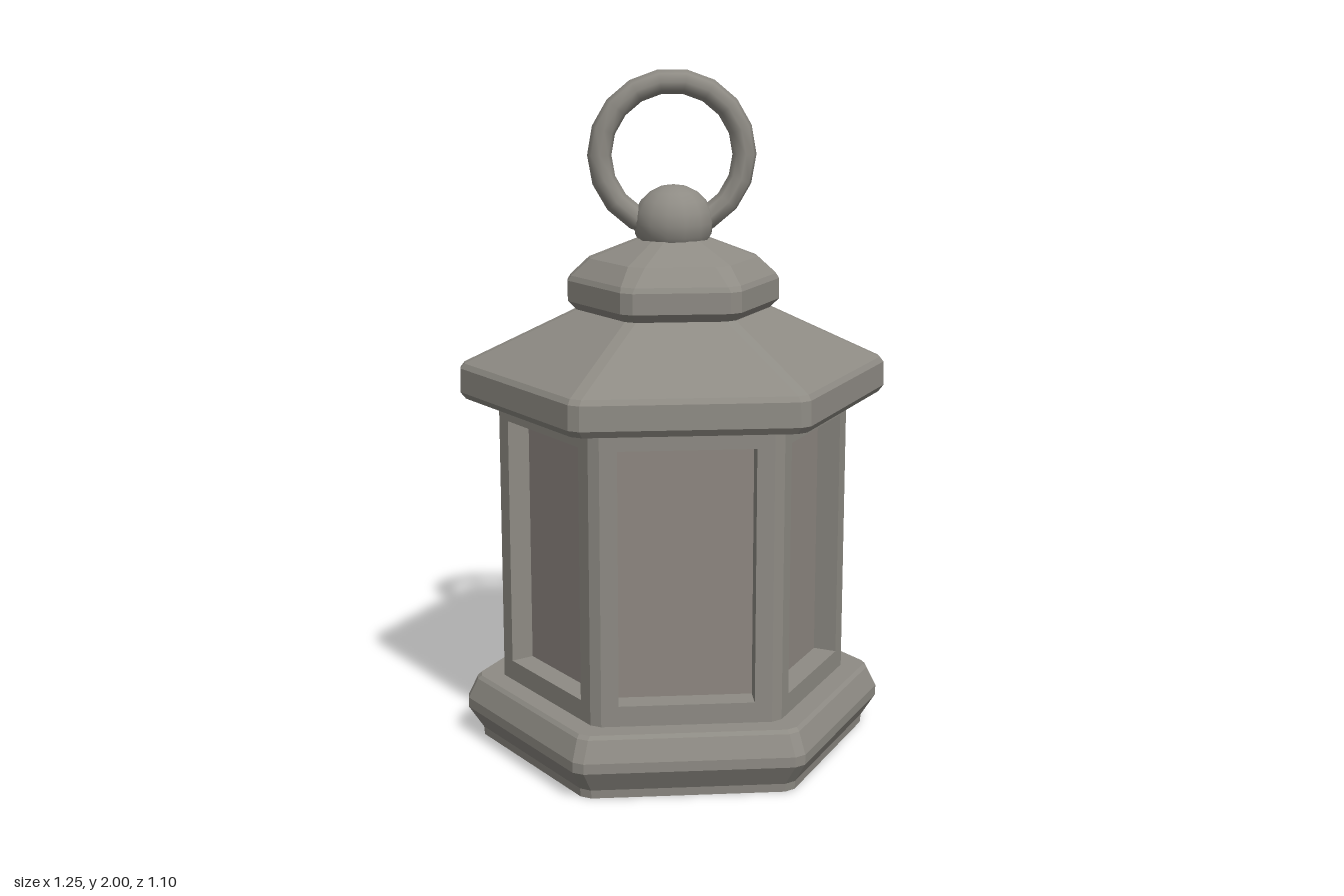
import * as THREE from 'three';

const COS30 = Math.cos(Math.PI / 6);

// Hexagon with clipped corners: corners on +x/-x, flats on +z/-z
function hexRing(y, apothem, clip) {
  const R = apothem / COS30;
  const corner = k => new THREE.Vector3(R * Math.cos(k * Math.PI / 3), y, -R * Math.sin(k * Math.PI / 3));
  const ring = [];
  for (let k = 0; k < 6; k++) {
    const c = corner(k);
    for (const n of [k - 1, k + 1]) ring.push(c.clone().lerp(corner(n), clip / R));
  }
  return ring;
}

// Closed, flat-faced solid through a stack of [y, apothem, corner clip]
function hexLoft(profile) {
  const rings = profile.map(p => hexRing(...p));
  const pts = [];
  const n = 12, last = rings.length - 1;
  const bottom = new THREE.Vector3(0, profile[0][0], 0);
  const top = new THREE.Vector3(0, profile[last][0], 0);
  for (let i = 0; i < n; i++) {
    const j = (i + 1) % n;
    for (let r = 0; r < last; r++) {
      const a = rings[r][i], b = rings[r][j], c = rings[r + 1][j], d = rings[r + 1][i];
      pts.push(a, b, c, a, c, d);
    }
    pts.push(bottom, rings[0][j], rings[0][i], top, rings[last][i], rings[last][j]);
  }
  const g = new THREE.BufferGeometry().setFromPoints(pts);
  g.computeVertexNormals();
  return g;
}

export function createModel() {
  const metal = new THREE.MeshStandardMaterial({ color: 0x8e8b84 });
  metal.name = 'grey metal';
  const pane = new THREE.MeshStandardMaterial({ color: 0x8e8781 });
  pane.name = 'warm grey pane';

  const model = new THREE.Group();
  model.name = 'lantern';
  const add = (name, geometry, material = metal, parent = model) => {
    const m = new THREE.Mesh(geometry, material);
    m.name = name;
    parent.add(m);
    return m;
  };

  // Plinth
  add('base', hexLoft([
    [0, 0.51, 0.02], [0.025, 0.512, 0.02], [0.09, 0.55, 0.02],
    [0.12, 0.55, 0.02], [0.18, 0.525, 0.02], [0.19, 0.515, 0.02],
  ]));

  // Recessed panes
  add('panes', hexLoft([[0.18, 0.385, 0.005], [1.06, 0.385, 0.005]]), pane);

  // Six window frames and the clipped corner posts between them
  const A = 0.455, R = A / COS30, clip = 0.02, depth = 0.07;
  const y0 = 0.18, y1 = 1.06, half = R / 2 - clip;
  const shape = new THREE.Shape([
    new THREE.Vector2(-half, y0), new THREE.Vector2(half, y0),
    new THREE.Vector2(half, y1), new THREE.Vector2(-half, y1),
  ]);
  shape.holes.push(new THREE.Path([
    new THREE.Vector2(-0.193, 0.25), new THREE.Vector2(-0.193, 0.99),
    new THREE.Vector2(0.193, 0.99), new THREE.Vector2(0.193, 0.25),
  ]));
  const frameGeo = new THREE.ExtrudeGeometry(shape, { depth, bevelEnabled: false });
  frameGeo.translate(0, 0, A - depth);
  const postGeo = new THREE.BoxGeometry(2 * clip * COS30, y1 - y0, 0.05);
  postGeo.translate(0, (y0 + y1) / 2, R - clip / 2 - 0.025);
  const body = new THREE.Group();
  body.name = 'body';
  model.add(body);
  for (let k = 0; k < 6; k++) {
    add('windowFrame', frameGeo, metal, body).rotation.y = k * Math.PI / 3;
    add('cornerPost', postGeo, metal, body).rotation.y = (k + 0.5) * Math.PI / 3;
  }

  // Roof and cap
  add('roof', hexLoft([
    [1.05, 0.538, 0.02], [1.07, 0.552, 0.02], [1.14, 0.55, 0.02],
    [1.155, 0.54, 0.02], [1.315, 0.245, 0.02],
  ]));
  add('cap', hexLoft([
    [1.305, 0.25, 0.02], [1.335, 0.277, 0.022], [1.395, 0.277, 0.022],
    [1.41, 0.27, 0.025], [1.46, 0.225, 0.03], [1.525, 0.075, 0.02],
  ]));

  // Knob and carrying ring
  const knob = add('knob', new THREE.SphereGeometry(0.117, 14, 10));
  knob.position.y = 1.56;
  knob.scale.y = 0.94;
  const ring = add('ring', new THREE.TorusGeometry(0.21, 0.035, 8, 18));
  ring.position.set(-0.004, 1.755, 0);

  return model;
}
